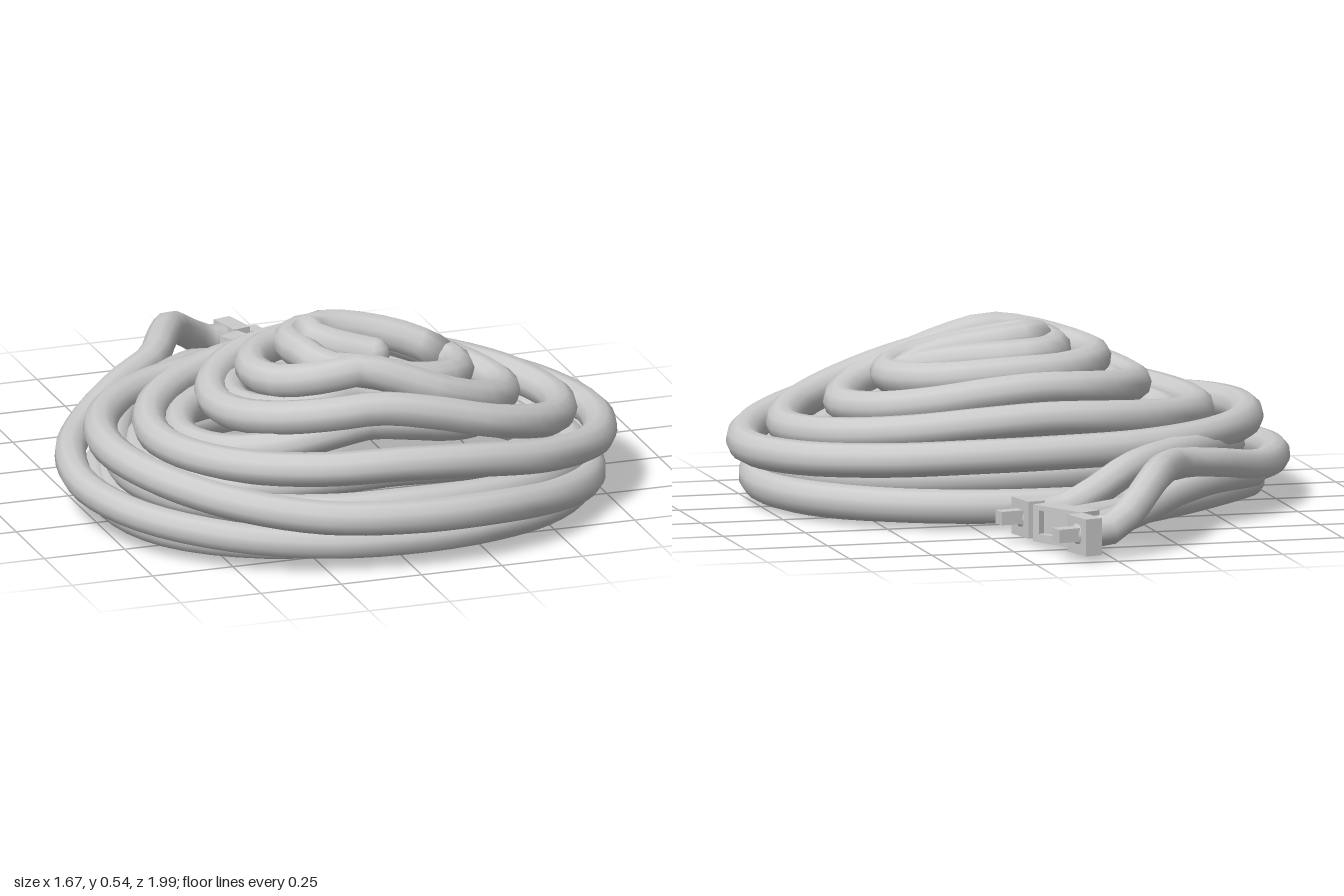
import * as THREE from 'three';

const material = new THREE.MeshStandardMaterial({ color: 0xcccccc });
const CENTRE_Z = 0.27;
const V = (p) => new THREE.Vector3(...p);

function addMesh(parent, geometry, name, x = 0, y = 0, z = 0) {
  const mesh = new THREE.Mesh(geometry, material);
  mesh.name = name;
  mesh.position.set(x, y, z);
  parent.add(mesh);
  return mesh;
}

// Cable through points, closed with a rounded cap at both ends
function cable(parent, name, points, radius) {
  const group = new THREE.Group();
  group.name = name;
  const curve = new THREE.CatmullRomCurve3(points, false, 'centripetal');
  addMesh(group, new THREE.TubeGeometry(curve, points.length * 3, radius, 10), name + 'Tube');
  for (const p of [points[0], points[points.length - 1]]) {
    addMesh(group, new THREE.SphereGeometry(radius * 0.99, 10, 6), name + 'Cap', p.x, p.y, p.z);
  }
  parent.add(group);
}

// Clockwise coil: one [x or z, height] entry per quarter, in the order left edge (0), back (1), right (2), front (3)
function coil(quarters, first = 0) {
  const polar = quarters.map(([c, y], i) => [Math.abs((i + first) % 2 ? c - CENTRE_Z : c), y]);
  const steps = 4;
  const points = [];
  for (let i = 0; i < polar.length; i++) {
    const [r0, y0] = polar[i];
    const [r1, y1] = polar[i + 1] || polar[i];
    const n = i === polar.length - 1 ? 1 : steps;
    for (let s = 0; s < n; s++) {
      const t = s / steps;
      const e = t * t * (3 - 2 * t);
      const a = Math.PI + (i + first + t) * Math.PI / 2;
      const r = r0 + (r1 - r0) * e;
      points.push(new THREE.Vector3(r * Math.cos(a), y0 + (y1 - y0) * e, CENTRE_Z + r * Math.sin(a)));
    }
  }
  return points;
}

// Group at a cable end whose local +x points along (dx, dz)
function connectorGroup(parent, name, x, z, dx, dz) {
  const group = new THREE.Group();
  group.name = name;
  group.position.set(x, 0.075, z);
  group.rotation.y = Math.atan2(-dz, dx);
  parent.add(group);
  return group;
}

function smallPlug(parent, name, x, z, dx, dz) {
  const g = connectorGroup(parent, name, x, z, dx, dz);
  addMesh(g, new THREE.BoxGeometry(0.055, 0.11, 0.11), 'plugBody');
  addMesh(g, new THREE.BoxGeometry(0.075, 0.04, 0.045), 'plugPin', 0.06, 0.005, 0);
}

// Wide socket: back plate and a rim around a recessed slot
function wideSocket(parent, name, x, z, dx, dz) {
  const g = connectorGroup(parent, name, x, z, dx, dz);
  addMesh(g, new THREE.BoxGeometry(0.05, 0.11, 0.21), 'socketBack', -0.01, 0, 0);
  const rim = new THREE.Shape();
  rim.moveTo(-0.105, -0.055).lineTo(0.105, -0.055).lineTo(0.105, 0.055).lineTo(-0.105, 0.055).closePath();
  const slot = new THREE.Path();
  slot.moveTo(-0.08, -0.03).lineTo(-0.08, 0.04).lineTo(0.08, 0.04).lineTo(0.08, -0.03).closePath();
  rim.holes.push(slot);
  const mesh = addMesh(g, new THREE.ExtrudeGeometry(rim, { depth: 0.02, bevelEnabled: false }), 'socketRim', 0.015);
  mesh.rotation.y = Math.PI / 2;
}

export function createModel() {
  const model = new THREE.Group();
  model.name = 'coiledCables';

  // Main coil climbing inward from the floor, high at the front and sagging at the sides
  const main = coil([
    [-0.68, 0.06], [-0.352, 0.07], [0.74, 0.065], [0.945, 0.165],
    [-0.715, 0.235], [-0.352, 0.225], [0.785, 0.18], [0.83, 0.29],
    [-0.57, 0.255], [-0.22, 0.305], [0.67, 0.235], [0.64, 0.4],
    [-0.38, 0.335], [-0.1, 0.375], [0.5, 0.295], [0.475, 0.465],
    [-0.26, 0.415], [0.0, 0.41], [0.36, 0.375], [0.4, 0.44],
    [-0.11, 0.46], [0.05, 0.45],
  ]);
  // Hairpin on top
  main.push(...[
    [0.2, 0.43, 0.12], [0.32, 0.4, 0.22], [0.24, 0.44, 0.19], [0.12, 0.47, 0.145], [0.02, 0.485, 0.13],
    [-0.06, 0.49, 0.16], [-0.06, 0.485, 0.22], [0.0, 0.47, 0.27], [0.09, 0.45, 0.31],
  ].map(V));
  cable(model, 'mainCoil', main, 0.051);

  // Under coil that widens downward beneath the main one and leaves to the near plug
  const under = coil([
    [-0.1, 0.36], [0.09, 0.35], [0.27, 0.31], [0.38, 0.37],
    [-0.32, 0.33], [-0.06, 0.3], [0.43, 0.24], [0.54, 0.32],
    [-0.48, 0.24], [-0.16, 0.23], [0.58, 0.16], [0.74, 0.24],
    [-0.6, 0.17], [-0.28, 0.15], [0.7, 0.12], [0.84, 0.17], [-0.655, 0.15],
  ]);
  under.push(...[
    [-0.61, 0.17, 0.02], [-0.5, 0.2, -0.18], [-0.34, 0.205, -0.34], [-0.18, 0.19, -0.47],
    [-0.04, 0.13, -0.55], [0.05, 0.09, -0.56], [0.15, 0.075, -0.58],
  ].map(V));
  cable(model, 'underCoil', under, 0.048);

  // Outer floor strand whose tail rises over the others to the far plug
  const outer = coil([[-0.33, 0.07], [0.72, 0.05], [0.885, 0.075], [-0.785, 0.12]], 1);
  outer.push(...[
    [-0.745, 0.13, 0.0], [-0.63, 0.14, -0.22], [-0.46, 0.18, -0.4], [-0.31, 0.205, -0.52],
    [-0.24, 0.215, -0.64], [-0.17, 0.205, -0.77], [-0.09, 0.15, -0.87], [0.0, 0.09, -0.93], [0.08, 0.08, -0.94],
  ].map(V));
  cable(model, 'outerStrand', outer, 0.047);

  // Inner floor strand ending at the wide socket
  const inner = coil([[0.7, 0.05], [0.84, 0.07], [-0.7, 0.048]], 2);
  inner.push(...[
    [-0.67, 0.06, 0.0], [-0.54, 0.07, -0.2], [-0.34, 0.075, -0.41], [-0.12, 0.075, -0.58], [0.06, 0.075, -0.7],
  ].map(V));
  cable(model, 'innerStrand', inner, 0.046);

  // Branch from the outer strand to the socket
  cable(model, 'socketLead', [
    [-0.62, 0.12, -0.22], [-0.46, 0.13, -0.38], [-0.3, 0.12, -0.53], [-0.14, 0.09, -0.68], [-0.02, 0.075, -0.77], [0.04, 0.075, -0.8],
  ].map(V), 0.044);

  // Connectors
  smallPlug(model, 'farPlug', 0.085, -0.94, 1, -0.25);
  smallPlug(model, 'nearPlug', 0.16, -0.58, 1, -0.2);
  wideSocket(model, 'wideSocket', 0.095, -0.765, 0.88, -0.47);

  return model;
}
